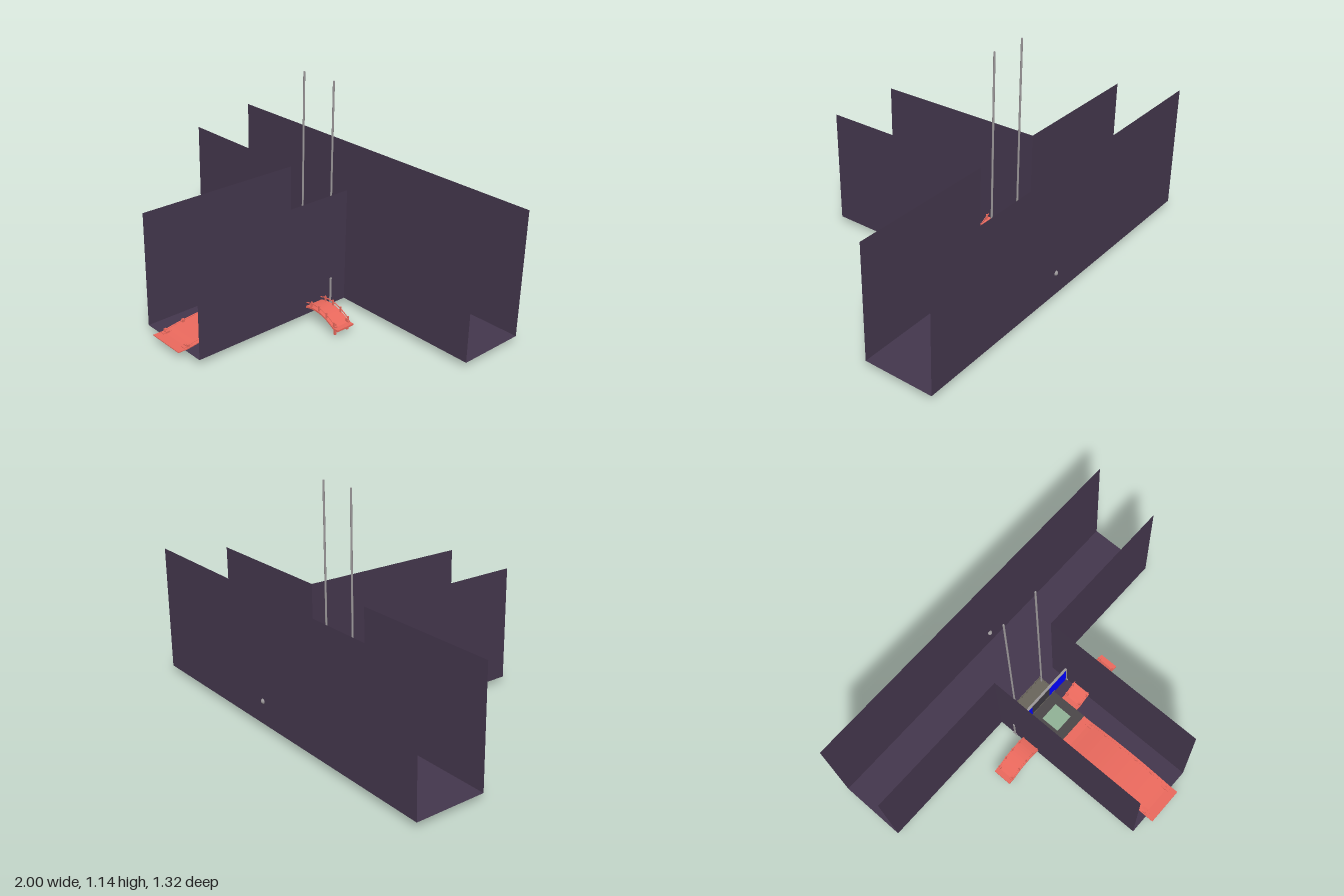
import * as THREE from 'three';

const mat = (color, side = THREE.FrontSide) => new THREE.MeshStandardMaterial({ color, side });
const wallMat = mat(0x43364c, THREE.DoubleSide);
const red = mat(0xe8685c, THREE.DoubleSide);
const grey = mat(0x9a9698);
const blue = mat(0x0000ff, THREE.DoubleSide);

function add(parent, name, geometry, material, x = 0, y = 0, z = 0) {
  const mesh = new THREE.Mesh(geometry, material);
  mesh.name = name;
  mesh.position.set(x, y, z);
  parent.add(mesh);
  return mesh;
}
const box = (parent, name, material, w, h, d, x, y, z) =>
  add(parent, name, new THREE.BoxGeometry(w, h, d), material, x, y, z);

// Thin upright sheet between two floor points
function wall(parent, name, x1, z1, x2, z2, top) {
  const base = 0.03, length = Math.hypot(x2 - x1, z2 - z1);
  const m = add(parent, name, new THREE.PlaneGeometry(length, top - base), wallMat,
    (x1 + x2) / 2, (top + base) / 2, (z1 + z2) / 2);
  m.rotation.y = -Math.atan2(z2 - z1, x2 - x1);
}

// Height of the bridge deck: flat landings, arched in the middle
const FOOT = 0.133, HALF = 0.165, WIDTH = 0.104;
const archY = (x) => 0.04 + 0.046 * Math.max(0, 1 - (x / FOOT) ** 2);

// Strip of constant thickness following the arch, extruded across the bridge
function archStrip(lift, thickness, width, half) {
  const top = [], bottom = [];
  for (let i = 0; i <= 24; i++) {
    const x = -half + (2 * half * i) / 24;
    top.push(new THREE.Vector2(x, archY(x) + lift));
    bottom.unshift(new THREE.Vector2(x, archY(x) + lift - thickness));
  }
  const g = new THREE.ExtrudeGeometry(new THREE.Shape([...bottom, ...top]),
    { depth: width, bevelEnabled: false });
  return g.translate(0, 0, -width / 2);
}

// Arched bridge along x with side rails, posts and feet
function bridge(name) {
  const g = new THREE.Group();
  g.name = name;
  add(g, 'deck', archStrip(0, 0.009, WIDTH, HALF), red);
  for (const s of [-1, 1]) {
    const z = s * 0.046;
    add(g, 'handrail', archStrip(0.02, 0.004, 0.004, FOOT), red, 0, 0, z);
    for (let i = 0; i < 6; i++) {
      const x = -FOOT + (2 * FOOT * i) / 5;
      box(g, 'railPost', red, 0.007, 0.03, 0.007, x, archY(x) + 0.013, z);
    }
    for (const e of [-1, 1]) {
      box(g, 'foot', red, 0.01, 0.06, 0.01, e * FOOT, 0.03, s * 0.04);
      box(g, 'footCap', red, 0.026, 0.006, 0.012, e * FOOT, 0.046, s * 0.042);
    }
  }
  return g;
}

export function createModel() {
  const model = new THREE.Group();

  // T-shaped corridor floor
  const outline = [[-1, 0.65], [1, 0.65], [1, 0.29], [0.205, 0.29], [0.205, -0.615],
    [-0.205, -0.615], [-0.205, 0.29], [-1, 0.29]];
  const floorShape = new THREE.Shape(outline.map(([x, y]) => new THREE.Vector2(x, y)));
  add(model, 'corridorFloor', new THREE.ShapeGeometry(floorShape).rotateX(-Math.PI / 2),
    wallMat, 0, 0.03, 0);

  // Corridor walls
  wall(model, 'backWall', -1, -0.65, 1, -0.65, 0.68);
  for (const s of [-1, 1]) {
    wall(model, 'frontWall', s * 0.205, -0.29, s, -0.29, 0.62);
    wall(model, 'sideWall', s * 0.205, -0.29, s * 0.205, 0.615, 0.62);
  }

  // Side bridges and the long entrance bridge
  for (const s of [-1, 1]) {
    const b = bridge(s > 0 ? 'leftBridge' : 'rightBridge');
    b.position.set(s * 0.268, 0, -0.083);
    model.add(b);
  }
  const long = bridge('entranceBridge');
  long.rotation.y = Math.PI / 2;
  long.scale.set(1.94, 0.5, 1.97);
  long.position.set(0, 0.02, 0.338);
  model.add(long);

  // Central landing with its inlay
  box(model, 'landing', mat(0x4a4648), 0.206, 0.012, 0.215, 0, 0.036, -0.085);
  box(model, 'landingInlay', mat(0x8fb094), 0.106, 0.004, 0.106, 0, 0.043, -0.083);

  // Lift platform with a low railing
  const lift = new THREE.Group();
  lift.name = 'liftPlatform';
  model.add(lift);
  const olive = mat(0x68645a);
  box(lift, 'liftFloor', olive, 0.22, 0.012, 0.108, 0, 0.042, -0.244);
  box(lift, 'liftBackRail', olive, 0.22, 0.004, 0.004, 0, 0.066, -0.295);
  for (let i = 0; i < 7; i++)
    box(lift, 'liftRailPost', olive, 0.005, 0.03, 0.005, -0.105 + i * 0.035, 0.06, -0.295);
  for (const s of [-1, 1]) {
    box(lift, 'liftSideRail', olive, 0.004, 0.004, 0.1, s * 0.107, 0.066, -0.245);
    add(lift, 'liftPole', new THREE.CylinderGeometry(0.005, 0.005, 1.105, 10), grey,
      s * 0.104, 0.5925, -0.281);
  }

  // Framed screen with blue side panels around a dark door
  const screen = new THREE.Group();
  screen.name = 'gateScreen';
  screen.position.z = -0.193;
  model.add(screen);
  box(screen, 'topBar', grey, 0.418, 0.008, 0.012, 0, 0.173, 0);
  for (const s of [-1, 1]) {
    box(screen, 'framePost', grey, 0.008, 0.145, 0.01, s * 0.205, 0.102, 0);
    box(screen, 'frameFoot', grey, 0.01, 0.01, 0.026, s * 0.205, 0.036, 0);
    box(screen, 'bluePanel', blue, 0.135, 0.136, 0.003, s * 0.135, 0.1, 0);
  }
  box(screen, 'door', mat(0x3c3840), 0.136, 0.136, 0.003, 0, 0.1, 0);

  // Small knob in the back wall
  add(model, 'wallKnob', new THREE.SphereGeometry(0.013, 16, 12), grey, 0.103, 0.147, -0.647);

  return model;
}
